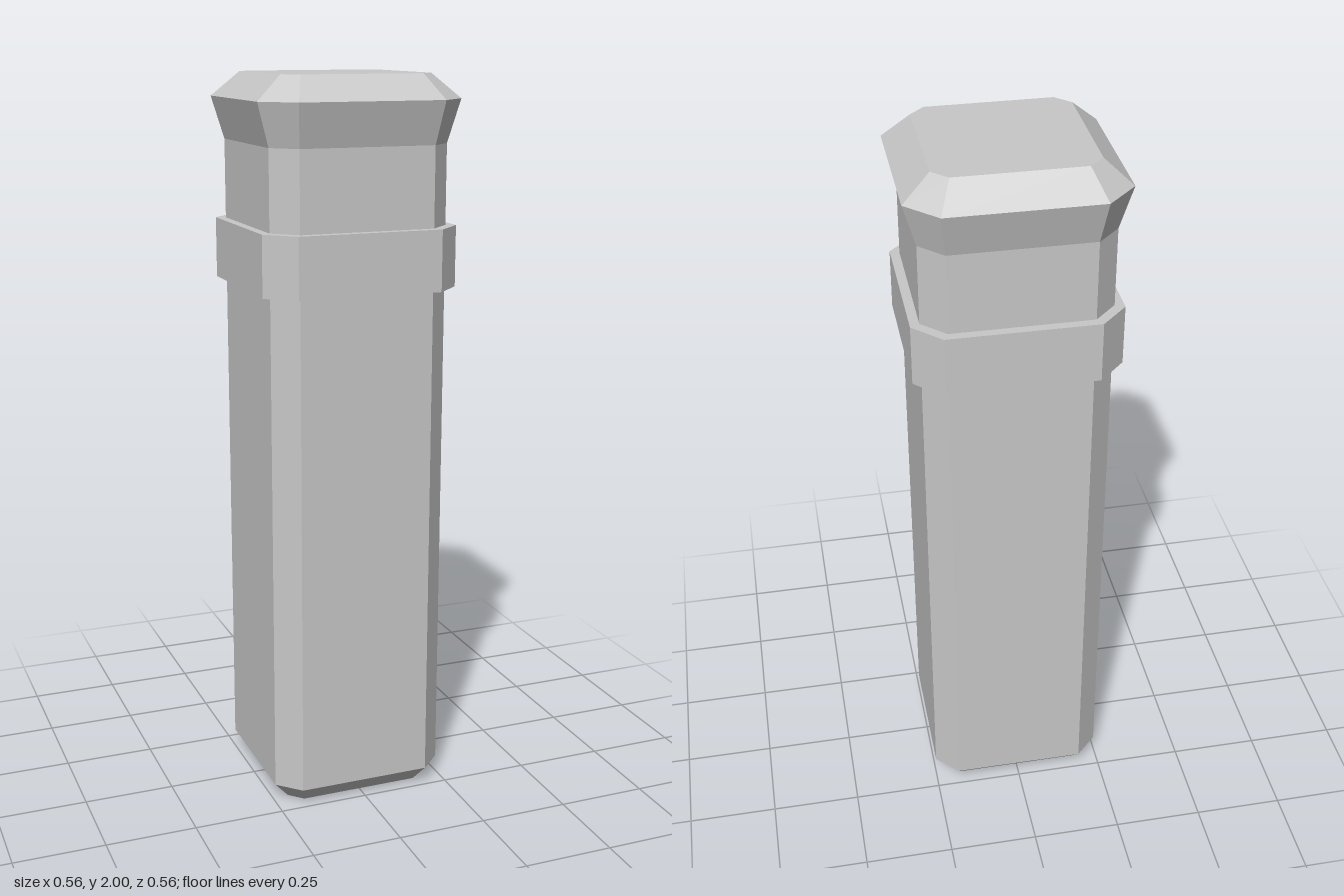
import * as THREE from 'three';

// Octagonal cross-section: half = half width, flat = half length of each main side
function ring([y, half, flat]) {
  const corners = [[half, flat], [half, -flat], [flat, -half], [-flat, -half],
    [-half, -flat], [-half, flat], [-flat, half], [flat, half]];
  return corners.map(([x, z]) => [x, y, z]);
}

// Join a stack of cross-sections, bottom to top, and close both ends
function loft(sections) {
  const rings = sections.map(ring);
  const pos = [];
  const tri = (a, b, c) => pos.push(...a, ...b, ...c);
  for (let k = 0; k < rings.length - 1; k++) {
    const lo = rings[k], up = rings[k + 1];
    for (let i = 0; i < 8; i++) {
      const j = (i + 1) % 8;
      tri(lo[i], lo[j], up[j]);
      tri(lo[i], up[j], up[i]);
    }
  }
  const bottom = rings[0], top = rings[rings.length - 1];
  for (let i = 1; i < 7; i++) {
    tri(top[0], top[i], top[i + 1]);
    tri(bottom[0], bottom[i + 1], bottom[i]);
  }
  const geometry = new THREE.BufferGeometry();
  geometry.setAttribute('position', new THREE.Float32BufferAttribute(pos, 3));
  geometry.computeVertexNormals();
  return geometry;
}

export function createModel() {
  const model = new THREE.Group();
  model.name = 'post';
  const stone = new THREE.MeshStandardMaterial({ color: 0xc8c8c8, flatShading: true });
  stone.name = 'grey stone';

  const add = (name, sections) => {
    const mesh = new THREE.Mesh(loft(sections), stone);
    mesh.name = name;
    model.add(mesh);
  };

  // Shaft with bevelled foot, flared head and bevelled top
  add('shaft', [
    [0, 0.205, 0.168],
    [0.05, 0.248, 0.187],
    [1.82, 0.248, 0.187],
    [1.935, 0.281, 0.2],
    [2, 0.208, 0.168],
  ]);

  // Raised band around the neck
  add('band', [
    [1.44, 0.273, 0.2],
    [1.605, 0.273, 0.2],
  ]);

  return model;
}
